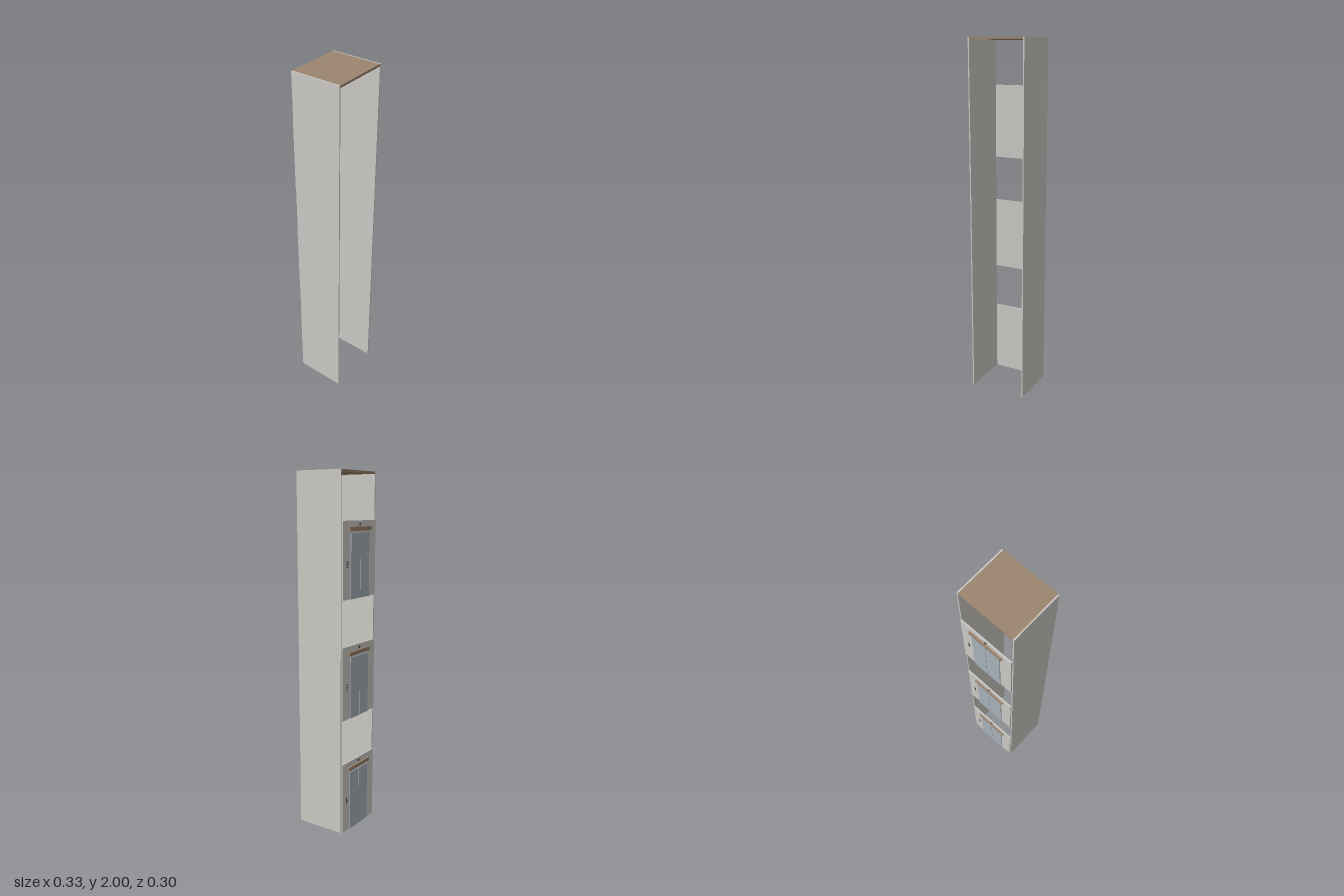
import * as THREE from 'three';

const wallMat = new THREE.MeshStandardMaterial({ color: 0xcccac5 });
const woodMat = new THREE.MeshStandardMaterial({ color: 0x9c866f });
const doorMat = new THREE.MeshStandardMaterial({ color: 0xa9b2ba });
const darkMat = new THREE.MeshStandardMaterial({ color: 0x4a4a4a });

// Box given by its min and max corners
function box(name, mat, x0, x1, y0, y1, z0, z1) {
  const mesh = new THREE.Mesh(new THREE.BoxGeometry(x1 - x0, y1 - y0, z1 - z0), mat);
  mesh.name = name;
  mesh.position.set((x0 + x1) / 2, (y0 + y1) / 2, (z0 + z1) / 2);
  return mesh;
}

const BACK = -0.135;   // rear edge of the side walls
const FACE = -0.143;   // outer face of the landing panels

// One landing: panel, sliding door pair, lintel, indicator and call button
function createLanding() {
  const g = new THREE.Group();
  g.name = 'landing';
  g.add(box('landingPanel', wallMat, -0.158, 0.158, 0, 0.411, FACE, BACK));
  g.add(box('doorSeam', darkMat, -0.002, 0.002, 0.002, 0.345, FACE - 0.001, FACE));
  for (const s of [-1, 1]) {
    const leaf = box('doorLeaf', doorMat, -0.0435, 0.0435, 0, 0.347, FACE - 0.005, FACE);
    leaf.position.x = s * 0.0447;
    g.add(leaf);
  }
  g.add(box('lintel', woodMat, -0.102, 0.102, 0.357, 0.379, -0.152, FACE));

  // Round indicator lamp above the lintel
  const lamp = new THREE.Mesh(new THREE.CylinderGeometry(0.006, 0.006, 0.005, 16), darkMat);
  lamp.name = 'indicatorLamp';
  lamp.rotation.x = Math.PI / 2;
  lamp.position.set(0, 0.393, FACE - 0.0025);
  g.add(lamp);

  // Call plate with two buttons
  g.add(box('callPlate', darkMat, 0.113, 0.123, 0.17, 0.202, FACE - 0.004, FACE));
  for (const y of [0.179, 0.193]) {
    const button = new THREE.Mesh(new THREE.CylinderGeometry(0.003, 0.003, 0.003, 12), wallMat);
    button.name = 'callButton';
    button.rotation.x = Math.PI / 2;
    button.position.set(0.118, y, FACE - 0.005);
    g.add(button);
  }
  return g;
}

export function createModel() {
  const model = new THREE.Group();
  model.name = 'liftShaft';

  // Side walls and roof
  model.add(box('rightWall', wallMat, -0.165, -0.158, 0, 2, BACK, 0.15));
  model.add(box('leftWall', wallMat, 0.158, 0.165, 0, 2, BACK, 0.15));
  model.add(box('roof', woodMat, -0.158, 0.158, 1.988, 2, BACK, 0.15));

  // Three storeys of landings
  for (let i = 0; i < 3; i++) {
    const landing = createLanding();
    landing.position.y = i * 0.6665;
    model.add(landing);
  }
  return model;
}
